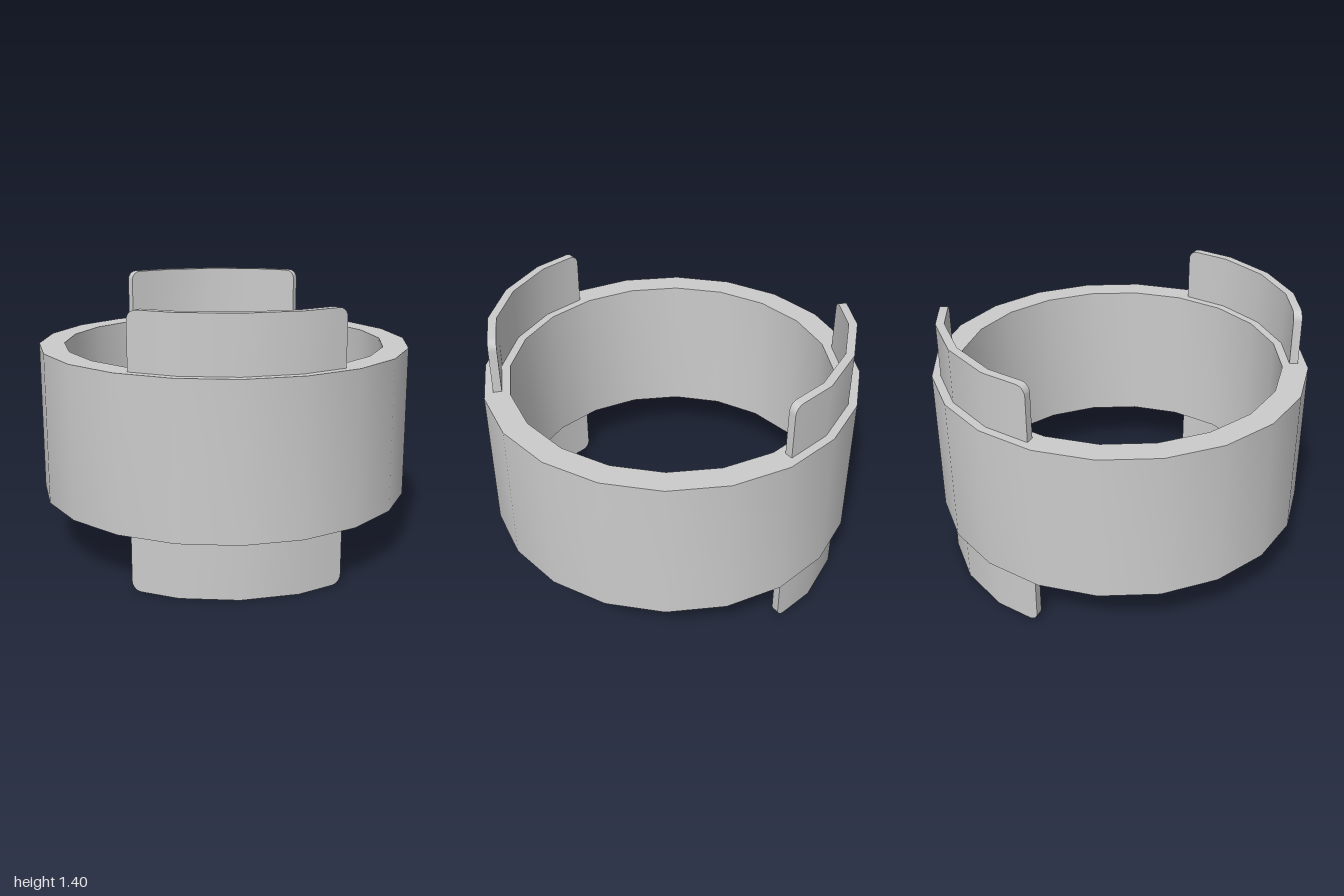
import * as THREE from 'three';
import { toCreasedNormals } from 'three/addons/utils/BufferGeometryUtils.js';

const SIDES = 20;
const STEP = (Math.PI * 2) / SIDES;
const HEIGHT = 1.4;

// Point on the 20-sided polygon of the given corner radius
function onPolygon(radius, angle, y) {
  const offset = angle - (Math.floor(angle / STEP + 1e-6) + 0.5) * STEP;
  const r = (radius * Math.cos(STEP / 2)) / Math.cos(offset);
  return [r * Math.sin(angle), y, r * Math.cos(angle)];
}

// Curved plate with rounded corners, lofted from radial cross-sections
function curvedTab(inner, outer, halfAngle, corner) {
  const cornerAngle = corner / outer;
  const half = [];
  for (let i = 0; i <= 5; i++) {
    const t = (i / 5) * (Math.PI / 2);
    half.push({
      angle: halfAngle - cornerAngle * (1 - Math.cos(t)),
      inset: corner * (1 - Math.sin(t)),
    });
  }
  half.push({ angle: STEP, inset: 0 });
  const mirrored = half.map((c) => ({ angle: -c.angle, inset: c.inset }));
  const columns = [...mirrored, { angle: 0, inset: 0 }, ...half.reverse()];

  const positions = [];
  const indices = [];
  columns.forEach(({ angle, inset }, i) => {
    const low = inset;
    const high = HEIGHT - inset;
    positions.push(
      ...onPolygon(outer, angle, low), ...onPolygon(outer, angle, high),
      ...onPolygon(inner, angle, high), ...onPolygon(inner, angle, low));
    if (i === columns.length - 1) return;
    for (let k = 0; k < 4; k++) {
      const a = i * 4 + k;
      const b = i * 4 + ((k + 1) % 4);
      indices.push(a, a + 4, b + 4, a, b + 4, b);
    }
  });
  const e = (columns.length - 1) * 4;
  indices.push(0, 1, 2, 0, 2, 3, e, e + 2, e + 1, e, e + 3, e + 2);

  const geometry = new THREE.BufferGeometry();
  geometry.setAttribute('position', new THREE.Float32BufferAttribute(positions, 3));
  geometry.setIndex(indices);
  return toCreasedNormals(geometry, 0.5);
}

export function createModel() {
  const model = new THREE.Group();
  model.name = 'ringWithTabs';
  const material = new THREE.MeshStandardMaterial({ color: 0xcccccc });

  // Ring: rectangular section turned around the vertical axis
  const section = [[1, 0.3], [1, 1.105], [0.865, 1.105], [0.865, 0.3], [1, 0.3]]
    .map(([r, y]) => new THREE.Vector2(r, y));
  const ring = new THREE.Mesh(
    toCreasedNormals(new THREE.LatheGeometry(section, SIDES), 0.5), material);
  ring.name = 'ring';
  model.add(ring);

  // Front and back tabs, running through the ring wall
  const tabGeometry = curvedTab(0.91, 0.955, THREE.MathUtils.degToRad(33.3), 0.05);
  ['frontTab', 'backTab'].forEach((name, i) => {
    const tab = new THREE.Mesh(tabGeometry, material);
    tab.name = name;
    tab.rotation.y = i * Math.PI;
    model.add(tab);
  });

  return model;
}
